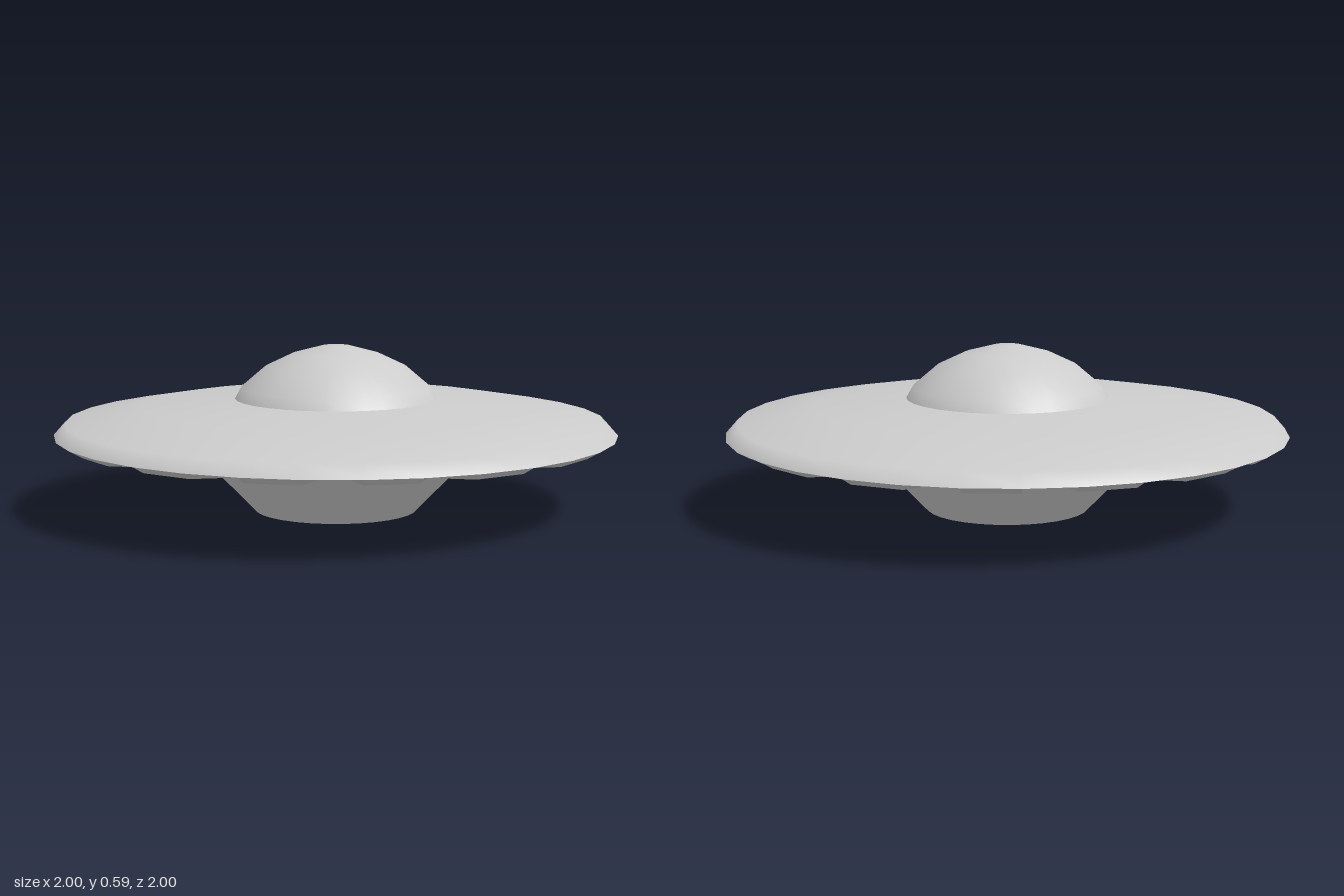
import * as THREE from 'three';
import { mergeVertices } from 'three/addons/utils/BufferGeometryUtils.js';

const SIDES = 32;
const material = new THREE.MeshStandardMaterial({ color: 0xcccccc });

function addMesh(group, name, geometry) {
  const mesh = new THREE.Mesh(geometry, material);
  mesh.name = name;
  group.add(mesh);
}

// Smooth surface of revolution, profile given from bottom to top
function lathe(profile) {
  return new THREE.LatheGeometry(profile.map(([r, y]) => new THREE.Vector2(r, y)), SIDES);
}

// Underside ring: recessed strips alternating with raised panels
function undersideGeometry() {
  const floor = [[1, 0.28], [0.955, 0.273], [0.56, 0.24], [0.48, 0.235]];
  const panel = [[1, 0.28], [0.955, 0.255], [0.56, 0.2], [0.48, 0.199]];
  const positions = [];
  const point = ([r, y], i) => {
    const a = ((i % SIDES) / SIDES) * Math.PI * 2;
    return [r * Math.sin(a), y, r * Math.cos(a)];
  };
  const quad = (a, b, c, d) => positions.push(...a, ...b, ...c, ...a, ...c, ...d);

  for (let i = 0; i < SIDES; i++) {
    const raised = i % 2 === 1;
    const section = raised ? panel : floor;
    for (let k = 0; k < 3; k++) {
      quad(point(section[k], i), point(section[k + 1], i),
        point(section[k + 1], i + 1), point(section[k], i + 1));
      if (!raised) continue;
      // Side walls of the raised panel
      quad(point(floor[k], i), point(floor[k + 1], i),
        point(panel[k + 1], i), point(panel[k], i));
      quad(point(panel[k], i + 1), point(panel[k + 1], i + 1),
        point(floor[k + 1], i + 1), point(floor[k], i + 1));
    }
  }
  let geometry = new THREE.BufferGeometry();
  geometry.setAttribute('position', new THREE.Float32BufferAttribute(positions, 3));
  geometry = mergeVertices(geometry, 1e-4);
  geometry.computeVertexNormals();
  return geometry;
}

export function createModel() {
  const group = new THREE.Group();
  group.name = 'flyingSaucer';

  // Upper hull with bevelled rim
  addMesh(group, 'upperHull', lathe([
    [1, 0.28], [0.96, 0.325], [0.68, 0.375], [0.34, 0.403],
  ]));

  // Cockpit dome
  addMesh(group, 'dome', lathe([
    [0.362, 0.398], [0.338, 0.44], [0.25, 0.515], [0.155, 0.56], [0.05, 0.588], [0, 0.59],
  ]));

  addMesh(group, 'undersidePanels', undersideGeometry());

  // Tapered base and its flat bottom
  addMesh(group, 'base', lathe([[0.29, 0], [0.52, 0.24]]));
  const bottom = new THREE.CircleGeometry(0.29, SIDES);
  bottom.rotateX(Math.PI / 2);
  addMesh(group, 'baseBottom', bottom);

  return group;
}
